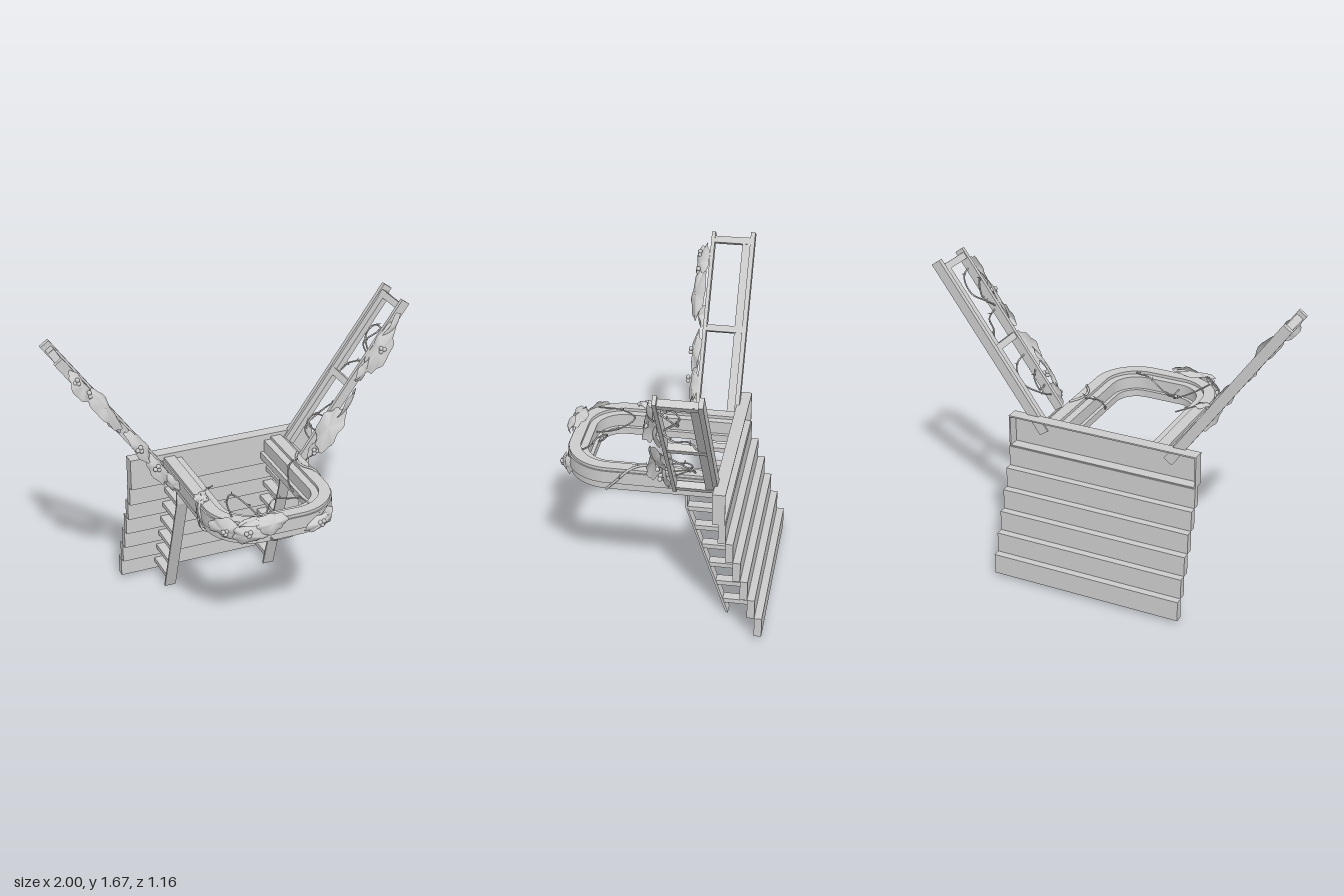
import * as THREE from 'three';
import { toCreasedNormals } from 'three/addons/utils/BufferGeometryUtils.js';

const grey = new THREE.MeshStandardMaterial({ color: 0xcccccc });
grey.name = 'paleGrey';
const greyThin = new THREE.MeshStandardMaterial({ color: 0xcccccc, side: THREE.DoubleSide });
greyThin.name = 'paleGrey';

function add(parent, name, geo, mat = grey) {
  const m = new THREE.Mesh(geo, mat);
  m.name = name;
  parent.add(m);
  return m;
}

// Box given by its limits on each axis
function box(parent, name, x0, x1, y0, y1, z0, z1) {
  const m = add(parent, name, new THREE.BoxGeometry(x1 - x0, y1 - y0, z1 - z0));
  m.position.set((x0 + x1) / 2, (y0 + y1) / 2, (z0 + z1) / 2);
  return m;
}

// U-shaped slab, open to the back, with concentric rounded corners
function uSlab(parent, name, o, i, y0, y1) {
  const c = 0.1, cz = 0.255, back = -0.33;
  const s = new THREE.Shape();
  s.moveTo(o, back);
  s.lineTo(o, cz);
  s.absarc(c, cz, o - c, 0, Math.PI / 2, false);
  s.absarc(-c, cz, o - c, Math.PI / 2, Math.PI, false);
  s.lineTo(-o, back);
  s.lineTo(-i, back);
  s.lineTo(-i, cz);
  s.absarc(-c, cz, i - c, Math.PI, Math.PI / 2, true);
  s.absarc(c, cz, i - c, Math.PI / 2, 0, true);
  s.lineTo(i, back);
  const g = new THREE.ExtrudeGeometry(s, { depth: y1 - y0, bevelEnabled: false, curveSegments: 10 });
  g.rotateX(Math.PI / 2);
  add(parent, name, toCreasedNormals(g, 0.6)).position.y = y1;
}

// Ragged, gently domed leaf sheet facing +z
function leaf(parent, pos, w, h, depth, rot = [0, 0, 0], seed = 0) {
  const rings = 4, segs = 32, p = [0, 0, depth], idx = [];
  for (let r = 1; r <= rings; r++) {
    const q = r / rings;
    for (let k = 0; k < segs; k++) {
      const a = (k / segs) * Math.PI * 2;
      const edge = 0.88 + 0.08 * Math.sin(3 * a + seed) + 0.07 * Math.sin(8 * a + seed * 2.3);
      const rad = q * (1 + (edge - 1) * q);
      const z = depth * (1 - q * q) + 0.006 * q * Math.sin(4 * a + seed * 1.7);
      p.push(Math.cos(a) * rad * w, Math.sin(a) * rad * h, z);
      const n = (k + 1) % segs, o = 1 + (r - 1) * segs, b = o - segs;
      if (r === 1) idx.push(0, o + k, o + n);
      else idx.push(b + k, o + k, o + n, b + k, o + n, b + n);
    }
  }
  const g = new THREE.BufferGeometry();
  g.setAttribute('position', new THREE.Float32BufferAttribute(p, 3));
  g.setIndex(idx);
  g.computeVertexNormals();
  const m = add(parent, 'leaf', g, greyThin);
  m.position.set(...pos);
  m.rotation.set(...rot);
}

// Three berries in a small bunch
function berries(parent, x, y, z) {
  for (const [dx, dy] of [[-0.011, 0.004], [0.011, 0.007], [0.002, -0.012]]) {
    add(parent, 'berry', new THREE.SphereGeometry(0.012, 12, 10)).position.set(x + dx, y + dy, z);
  }
}

// Thin stem with small thorns
function vine(parent, pts, r = 0.0045) {
  const curve = new THREE.CatmullRomCurve3(pts.map(p => new THREE.Vector3(...p)));
  add(parent, 'vine', new THREE.TubeGeometry(curve, 28, r, 6));
  for (const t of [0.25, 0.5, 0.75]) {
    const c = add(parent, 'thorn', new THREE.ConeGeometry(0.005, 0.028, 5));
    c.position.copy(curve.getPoint(t));
    c.position.y += 0.01;
    c.rotation.z = t * 4 - 2;
  }
}

export function createModel() {
  const root = new THREE.Group();

  // Stepped back wall; the top board is a cap open at the back
  const wall = new THREE.Group();
  wall.name = 'backWall';
  root.add(wall);
  const W = 0.54;
  box(wall, 'topBoardFace', -W, W, 0.70, 0.88, -0.335, -0.328);
  box(wall, 'topBoardLedge', -W, W, 0.872, 0.88, -0.395, -0.335);
  box(wall, 'topBoardBase', -W, W, 0.70, 0.706, -0.395, -0.335);
  for (const s of [-1, 1]) box(wall, 'topBoardEnd', s * (W - 0.004) - 0.004, s * (W - 0.004) + 0.004, 0.706, 0.872, -0.395, -0.335);
  for (let k = 0; k < 6; k++) {
    const top = 0.70 - k * 0.1135;
    box(wall, 'board', -W, W, top - 0.1135, top, -0.4 - 0.04 * k, -0.36 - 0.04 * k);
  }

  // Bent plank legs with struts back to the wall
  const prof = [[-0.158, 0.735], [-0.17, 0.735], [-0.17, 0.65], [-0.395, 0], [-0.382, 0], [-0.158, 0.655]];
  for (const x of [-0.31, 0.3]) {
    const leg = new THREE.Group();
    leg.name = 'leg';
    root.add(leg);
    const g = new THREE.ExtrudeGeometry(new THREE.Shape(prof.map(p => new THREE.Vector2(...p))), { depth: 0.064, bevelEnabled: false });
    g.rotateY(-Math.PI / 2);
    add(leg, 'legPlank', g).position.x = x + 0.032;
    for (let k = 0; k < 6; k++) {
      const y = 0.645 - k * 0.114;
      box(leg, 'strut', x - 0.028, x + 0.028, y - 0.013, y + 0.013, -0.362 - 0.04 * k, -0.165 - (0.65 - y) * 0.346);
    }
  }

  // Moulded U-shaped rim
  const rim = new THREE.Group();
  rim.name = 'rim';
  root.add(rim);
  uSlab(rim, 'rimBase', 0.345, 0.225, 0.735, 0.775);
  uSlab(rim, 'rimBand', 0.355, 0.245, 0.775, 0.845);
  uSlab(rim, 'rimTop', 0.347, 0.285, 0.845, 0.862);

  // Two slanted ladder frames
  for (const s of [1, -1]) {
    const arm = new THREE.Group();
    arm.name = s > 0 ? 'leftLadder' : 'rightLadder';
    arm.position.set(s * 0.36, 0.79, 0);
    arm.rotation.z = -s * 0.62;
    root.add(arm);
    const L = 1.06;
    box(arm, 'backRail', -0.028, 0.028, 0, L, -0.343, -0.318);
    box(arm, 'backRib', -0.016, 0.016, 0.01, L - 0.03, -0.32, -0.275);
    box(arm, 'frontRail', -0.026, 0.026, 0, L - 0.01, -0.12, -0.1);
    for (const t of [0.03, 0.51, 1.01]) box(arm, 'crossbar', -0.02, 0.02, t - 0.018, t + 0.018, -0.32, -0.11);

    // Leaf sheets along the front rail: height, half width, half length, turn, depth position
    const patches = s > 0
      ? [[0.9, 0.035, 0.1, 0.5, -0.08], [0.76, 0.06, 0.17, -0.7, -0.065], [0.62, 0.04, 0.09, 0.4, -0.08],
        [0.4, 0.06, 0.12, 0.9, -0.055], [0.26, 0.075, 0.15, -0.9, -0.04], [0.12, 0.045, 0.09, 0.5, -0.08]]
      : [[0.88, 0.06, 0.12, 0.8, -0.06], [0.7, 0.065, 0.16, 0.8, -0.055], [0.58, 0.035, 0.07, -0.4, -0.085],
        [0.38, 0.05, 0.13, 0.6, -0.075], [0.2, 0.05, 0.13, 0.5, -0.08], [0.06, 0.035, 0.08, -0.4, -0.085]];
    patches.forEach(([t, w, h, turn, z], k) => {
      leaf(arm, [0.006 * (k % 2 ? 1 : -1), t, z], w, h, 0.022, [0, turn, 0.08 * s], k + s);
    });
    for (const t of s > 0 ? [0.77, 0.24, 0.11] : [0.93, 0.83, 0.69, 0.38, 0.22]) berries(arm, 0, t, -0.042);
  }

  // Stems looping between the rails of the left ladder
  const left = root.getObjectByName('leftLadder');
  vine(left, [[0, 0.95, -0.09], [0.03, 0.92, -0.16], [0.02, 0.82, -0.2], [-0.03, 0.74, -0.18], [0, 0.69, -0.1]]);
  vine(left, [[0, 0.85, -0.1], [-0.04, 0.86, -0.16], [-0.03, 0.78, -0.2], [0, 0.7, -0.11]]);
  vine(left, [[0, 0.69, -0.1], [0.03, 0.66, -0.17], [0, 0.6, -0.23], [0.01, 0.54, -0.27]]);
  vine(left, [[0, 0.4, -0.1], [0.03, 0.37, -0.19], [0.02, 0.27, -0.24], [-0.03, 0.17, -0.2], [0, 0.13, -0.1]]);
  vine(left, [[0, 0.3, -0.1], [-0.03, 0.26, -0.2], [-0.03, 0.2, -0.21], [0, 0.2, -0.1]]);

  // Foliage on the front of the rim
  const growth = new THREE.Group();
  growth.name = 'rimFoliage';
  root.add(growth);
  leaf(growth, [-0.09, 0.855, 0.525], 0.1, 0.06, 0.03, [-0.4, 0, 0.1], 1);
  leaf(growth, [-0.2, 0.815, 0.505], 0.1, 0.07, 0.04, [0, -0.3, 0], 2);
  leaf(growth, [-0.3, 0.82, 0.42], 0.1, 0.065, 0.025, [0, -0.85, 0], 4);
  leaf(growth, [-0.14, 0.872, 0.5], 0.13, 0.045, 0.015, [-1.45, 0, 0.08], 3);
  leaf(growth, [-0.33, 0.87, 0.17], 0.04, 0.06, 0.015, [-1.4, 0, -0.4], 5);
  leaf(growth, [0.19, 0.785, 0.5], 0.1, 0.045, 0.025, [0, 0.25, 0.25], 6);
  leaf(growth, [0.25, 0.8, 0.475], 0.05, 0.06, 0.02, [0, 0.5, 0], 7);
  berries(growth, -0.31, 0.81, 0.45);
  berries(growth, -0.22, 0.83, 0.542);
  berries(growth, 0.2, 0.79, 0.522);

  // Stems looping over and around the rim
  vine(growth, [[-0.26, 0.87, 0.42], [-0.23, 0.88, 0.28], [-0.17, 0.87, 0.2], [-0.11, 0.83, 0.28], [-0.08, 0.8, 0.5]]);
  vine(growth, [[-0.08, 0.75, 0.52], [-0.05, 0.78, 0.37], [0.01, 0.86, 0.32], [0.08, 0.875, 0.36], [0.15, 0.87, 0.38], [0.2, 0.83, 0.49]]);
  vine(growth, [[-0.36, 0.76, 0.3], [-0.37, 0.82, 0.22], [-0.33, 0.875, 0.17], [-0.27, 0.872, 0.1], [-0.22, 0.86, 0.06]]);
  vine(growth, [[0.34, 0.868, -0.09], [0.3, 0.87, -0.02], [0.3, 0.87, 0.06], [0.345, 0.865, 0.13], [0.362, 0.8, 0.2], [0.34, 0.73, 0.26]], 0.007);
  vine(growth, [[0.28, 0.87, -0.02], [0.23, 0.85, 0.03], [0.215, 0.77, 0.1], [0.26, 0.73, 0.13]]);
  for (const z of [0, 0.025]) {
    vine(growth, [[-0.3, 0.868, 0.17 + z], [-0.35, 0.862, 0.18 + z], [-0.36, 0.8, 0.205 + z], [-0.353, 0.735, 0.235 + z], [-0.28, 0.728, 0.25 + z]], 0.008);
  }
  vine(growth, [[-0.3, 0.728, 0.24], [-0.26, 0.725, 0.36], [-0.15, 0.728, 0.44], [-0.05, 0.74, 0.515]]);
  return root;
}
